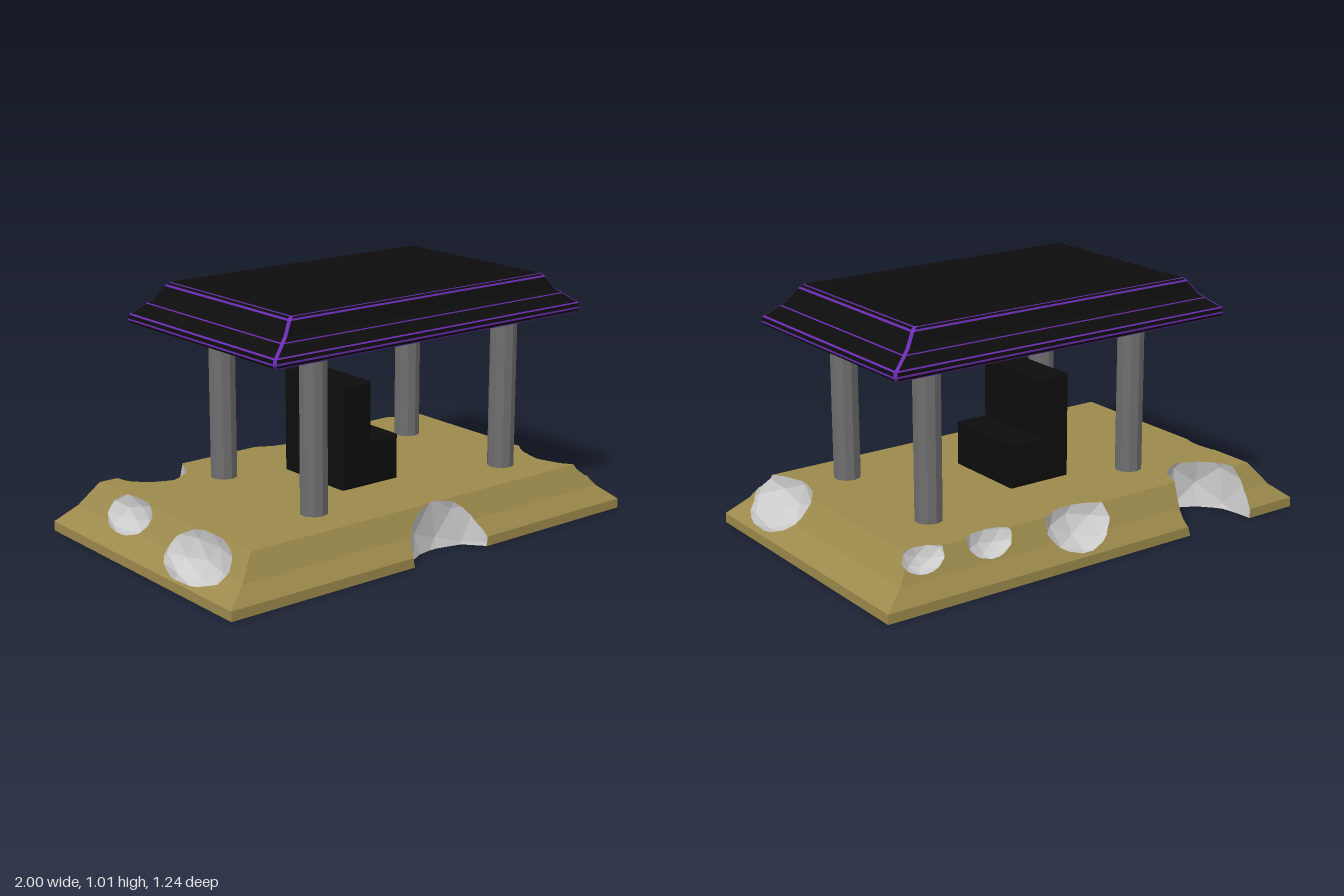
import * as THREE from 'three';

const material = (color) => new THREE.MeshStandardMaterial({ color, flatShading: true });
const SAND = material(0x9c8a4c), ROCK = material(0xcccccc), STONE = material(0x6e6e6e);
const BLACK = material(0x0d0d0d), PURPLE = material(0x6a2ab0);
const v = (x, y, z) => new THREE.Vector3(x, y, z);

function addMesh(parent, name, geometry, mat) {
  const mesh = new THREE.Mesh(geometry, mat);
  mesh.name = name;
  parent.add(mesh);
  return mesh;
}

// Flat-shaded geometry from a list of convex polygons
function polygonGeometry(polys) {
  const points = [];
  for (const p of polys) {
    for (let i = 1; i < p.length - 1; i++) points.push(p[0], p[i], p[i + 1]);
  }
  const geometry = new THREE.BufferGeometry().setFromPoints(points);
  geometry.computeVertexNormals();
  return geometry;
}

// Four-sided skin between two rings of points
const skin = (lo, hi) => lo.map((p, k) => {
  const n = (k + 1) % lo.length;
  return [p, lo[n], hi[n], hi[k]];
});

const planeOf = (p) => new THREE.Plane().setFromCoplanarPoints(p[0], p[1], p[2]);

// Part of a convex polygon on one side of a plane (sign 1 = outside, -1 = inside)
function clip(poly, plane, sign) {
  const out = [];
  poly.forEach((a, i) => {
    const b = poly[(i + 1) % poly.length];
    const da = sign * plane.distanceToPoint(a), db = sign * plane.distanceToPoint(b);
    if (da >= 0) out.push(a);
    if (da * db < 0) out.push(a.clone().lerp(b, da / (da - db)));
  });
  return out.length > 2 ? out : [];
}

const inside = (poly, planes) => planes.reduce((p, plane) => clip(p, plane, -1), poly);

// Pieces of a polygon left over after a convex solid is cut away
function outside(poly, planes) {
  if (!inside(poly, planes).length) return [poly];
  const pieces = [];
  let rest = poly;
  for (const plane of planes) {
    const piece = clip(rest, plane, 1);
    if (piece.length) pieces.push(piece);
    rest = clip(rest, plane, -1);
  }
  return pieces;
}

// Faceted ellipsoid as triangles
function boulder([x, y, z, rx, ry, rz], turn) {
  const g = new THREE.IcosahedronGeometry(1.03, 1);
  g.rotateX(turn * 1.3).rotateY(turn * 2.1).scale(rx, ry, rz).translate(x, y, z);
  const pos = g.attributes.position, tris = [];
  for (let i = 0; i < pos.count; i += 3) {
    tris.push([0, 1, 2].map((k) => new THREE.Vector3().fromBufferAttribute(pos, i + k)));
  }
  return tris;
}

// Bevelled slab with rock-lined hollows bitten out of its rim
function buildBase(group) {
  const rings = [[1, 0.62, 0], [1, 0.62, 0.04], [0.915, 0.57, 0.105], [0.84, 0.52, 0.2]]
    .map(([x, z, y]) => [[1, 1], [1, -1], [-1, -1], [-1, 1]].map(([sx, sz]) => v(sx * x, y, sz * z)));
  let slab = [[...rings[0]].reverse(), rings[3]];
  const layers = [];
  for (let i = 0; i < 3; i++) {
    const sides = skin(rings[i], rings[i + 1]);
    slab.push(...sides);
    layers.push([...sides, [...rings[i]].reverse(), rings[i + 1]].map(planeOf));
  }
  // centre x, y, z and radii x, y, z
  const hollows = [
    [0.05, 0.09, 0.64, 0.2, 0.28, 0.135],
    [-0.6, 0.1, -0.58, 0.18, 0.28, 0.24],
    [0.08, 0.2, -0.62, 0.19, 0.15, 0.15],
    [0.49, 0.2, -0.55, 0.11, 0.09, 0.07],
    [0.79, 0.2, -0.545, 0.1, 0.08, 0.07],
    [0.93, 0.19, 0.36, 0.16, 0.15, 0.21],
    [-0.9, 0.17, -0.23, 0.08, 0.1, 0.15],
    [-0.93, 0.16, 0.28, 0.1, 0.15, 0.21],
  ];
  const lining = [];
  hollows.forEach((h, i) => {
    const tris = boulder(h, i + 1);
    const planes = tris.map(planeOf);
    slab = slab.flatMap((p) => outside(p, planes));
    for (const tri of tris) {
      const flipped = [...tri].reverse();
      for (const layer of layers) {
        const part = inside(flipped, layer);
        if (part.length) lining.push(part);
      }
    }
  });
  addMesh(group, 'baseSlab', polygonGeometry(slab), SAND);
  addMesh(group, 'rockHollows', polygonGeometry(lining), ROCK);
}

// Flared roof with coloured trim along its edges
function buildRoof(group) {
  // scale, height, 1 where the band above is trim
  const profile = [
    [0.965, 0.842, 1], [0.99, 0.85, 0], [1, 0.86, 1], [1, 0.868, 0], [0.995, 0.882, 1],
    [0.985, 0.887, 0], [0.918, 0.925, 1], [0.913, 0.929, 0], [0.885, 0.945, 0],
    [0.84, 0.995, 1], [0.832, 1.002, 0], [0.818, 1.008, 1], [0.81, 1.01, 0],
  ];
  const c = 0.01;
  const rings = profile.map(([s, y]) => {
    const x = 0.787 * s, z = 0.493 * s;
    return [[x, z - c], [x, c - z], [x - c, -z], [c - x, -z], [-x, c - z], [-x, z - c], [c - x, z], [x - c, z]]
      .map(([px, pz]) => v(px + 0.083, y, pz));
  });
  const panels = [[...rings[0]].reverse(), rings[rings.length - 1]], trim = [];
  for (let i = 0; i < rings.length - 1; i++) {
    skin(rings[i], rings[i + 1]).forEach((quad, k) => {
      (profile[i][2] || k % 2 ? trim : panels).push(quad);
    });
  }
  addMesh(group, 'roofPanels', polygonGeometry(panels), BLACK);
  addMesh(group, 'roofTrim', polygonGeometry(trim), PURPLE);
}

// Step-shaped seat facing +x
function buildSeat(group) {
  const b = 0.008;
  const outline = [[-0.145 + b, 0.2], [0.14 - b, 0.2], [0.14 - b, 0.385 - b], [-b, 0.385 - b],
    [-b, 0.63 - b], [-0.145 + b, 0.63 - b]].map(([x, y]) => new THREE.Vector2(x, y));
  const geometry = new THREE.ExtrudeGeometry(new THREE.Shape(outline), {
    depth: 0.38 - 2 * b, bevelSize: b, bevelThickness: b, bevelSegments: 2,
  });
  geometry.translate(0, 0, b - 0.19);
  addMesh(group, 'seat', geometry, BLACK);
}

export function createModel() {
  const model = new THREE.Group();
  model.name = 'pavilion';
  buildBase(model);
  buildSeat(model);
  for (const x of [-0.398, 0.592]) {
    for (const z of [-0.273, 0.325]) {
      const geometry = new THREE.CylinderGeometry(0.056, 0.056, 0.65, 10);
      addMesh(model, 'column', geometry, STONE).position.set(x, 0.52, z);
    }
  }
  buildRoof(model);
  return model;
}
